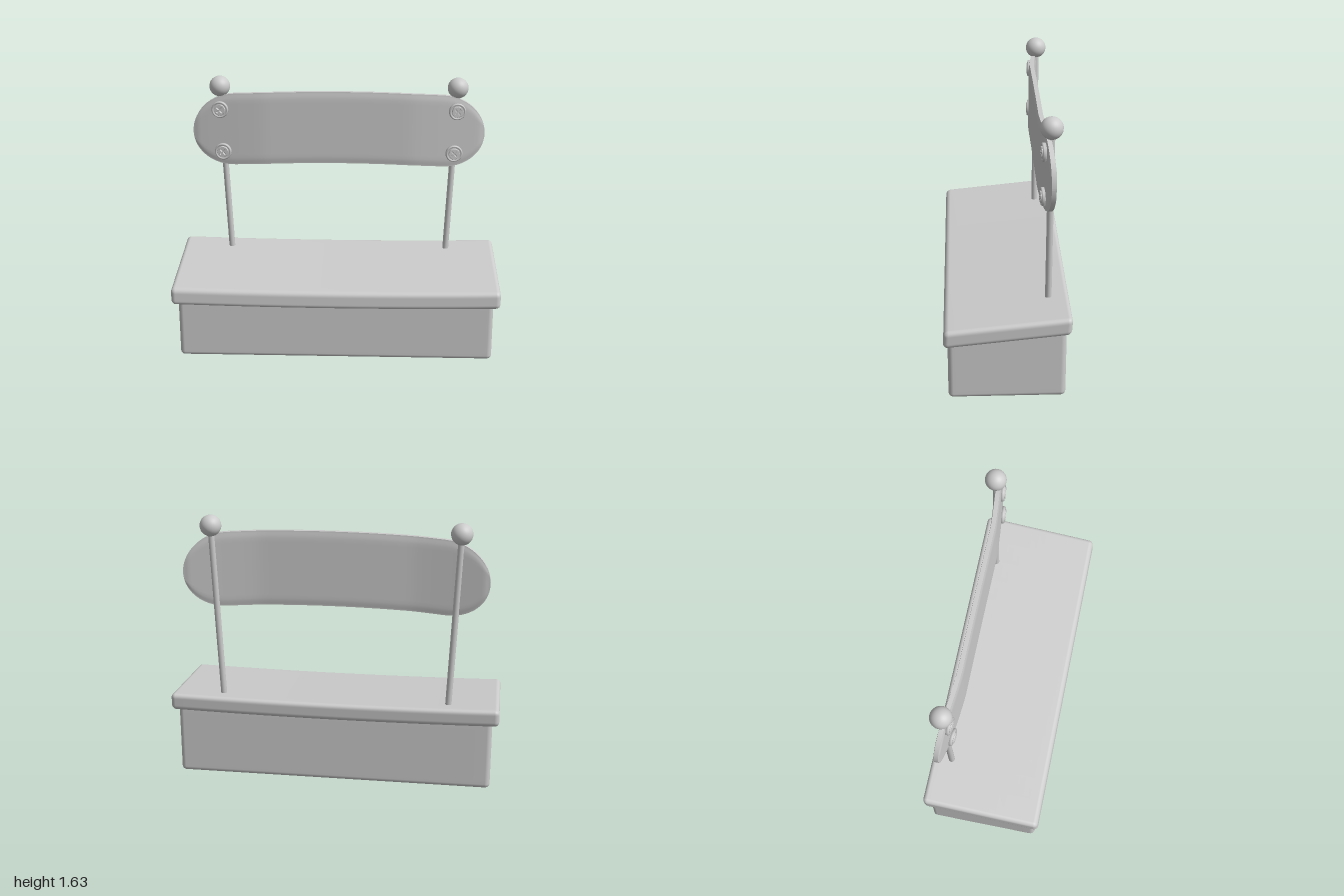
import * as THREE from 'three';
import { mergeVertices } from 'three/addons/utils/BufferGeometryUtils.js';

const SLOPE = -0.104; // lid drops towards the front
const grey = new THREE.MeshStandardMaterial({ color: 0xcccccc });
const greyThin = new THREE.MeshStandardMaterial({ color: 0xcccccc, side: THREE.DoubleSide });

function addMesh(parent, name, geometry, material = grey) {
  const mesh = new THREE.Mesh(geometry, material);
  mesh.name = name;
  parent.add(mesh);
  return mesh;
}

// Moves every vertex by a rule, then rebuilds smooth normals
function deform(geometry, rule) {
  const p = geometry.attributes.position;
  const v = new THREE.Vector3();
  for (let i = 0; i < p.count; i++) {
    rule(v.fromBufferAttribute(p, i));
    p.setXYZ(i, v.x, v.y, v.z);
  }
  geometry.computeVertexNormals();
  return geometry;
}

// Box with rounded edges and enough divisions to be bent; open = no top or bottom
function roundedBox(w, h, d, r, open = false) {
  const n = 22, edge = 4, inner = n / 2 - edge;
  let g = new THREE.BoxGeometry(1, 1, 1, n, n, n);
  if (open) {
    const index = Array.from(g.index.array);
    g.setIndex(g.groups.filter((_, i) => i !== 2 && i !== 3)
      .flatMap((s) => index.slice(s.start, s.start + s.count)));
  }
  g.deleteAttribute('uv');
  g.deleteAttribute('normal');
  g.clearGroups();
  g = mergeVertices(g);
  const spread = (t, size) => {
    const a = Math.abs(t * n), flat = size / 2 - r;
    const out = a <= inner ? (a / inner) * flat
      : flat + r * Math.tan(((a - inner) / edge) * Math.PI / 4);
    return Math.sign(t) * out;
  };
  const half = new THREE.Vector3(w / 2 - r, h / 2 - r, d / 2 - r);
  const low = half.clone().negate(), core = new THREE.Vector3();
  return deform(g, (v) => {
    v.set(spread(v.x, w), spread(v.y, h), spread(v.z, d));
    core.copy(v).clamp(low, half);
    v.sub(core).setLength(r).add(core);
  });
}

// Centre plane of the backrest: flat in the middle, swept back at the ends
const panelZ = (x) => -0.203 - 0.047 * Math.pow(Math.max(0, (Math.abs(x) - 0.45) / 0.46), 1.2);

function backrestGeometry() {
  const END = 0.912;
  let g = new THREE.BoxGeometry(2, 2, 2, 56, 20, 1);
  g.deleteAttribute('uv'); // normals stay, so the rim keeps a sharp edge
  g = mergeVertices(g);
  return deform(g, (v) => {
    const x = END * Math.sin(v.x * Math.PI / 2);
    const t = Math.sin(v.y * Math.PI / 2);
    const k = Math.max(0, (Math.abs(x) - 0.65) / (END - 0.65));
    const half = 0.229 * Math.sqrt(Math.max(0.0004, 1 - k * k));
    const toEdge = Math.min((1 - Math.abs(t)) * half, END - Math.abs(x));
    const thick = 0.013 + 0.006 * THREE.MathUtils.smoothstep(toEdge, 0, 0.04);
    v.set(x, 1.322 - 0.04 * (x / END) ** 2 + half * t, panelZ(x) + v.z * thick);
  });
}

// Round screw with a raised rim and a recessed cross
function makeScrew() {
  const screw = new THREE.Group();
  const rim = [[0, 0], [0.053, 0], [0.053, 0.018], [0.049, 0.025], [0.043, 0.025],
    [0.04, 0.018], [0, 0.018]].map(([x, y]) => new THREE.Vector2(x, y));
  addMesh(screw, 'screwWasher', new THREE.LatheGeometry(rim, 24)).rotation.x = Math.PI / 2;

  const head = new THREE.Shape().absarc(0, 0, 0.033, 0, Math.PI * 2);
  const a = 0.0055, b = 0.024;
  const cross = [[a, a], [a, b], [-a, b], [-a, a], [-b, a], [-b, -a],
    [-a, -a], [-a, -b], [a, -b], [a, -a], [b, -a], [b, a]];
  head.holes.push(new THREE.Path(cross.map(([x, y]) => new THREE.Vector2(x, y))));
  const headMesh = addMesh(screw, 'screwHead', new THREE.ExtrudeGeometry(head, {
    depth: 0.009, curveSegments: 12, bevelThickness: 0.003, bevelSize: 0.002, bevelSegments: 1,
  }));
  headMesh.position.z = 0.018;
  headMesh.rotation.z = Math.PI / 4;
  return screw;
}

export function createModel() {
  const model = new THREE.Group();
  model.name = 'bench';

  // Hollow base, open underneath, its top following the lid's slope
  const baseHeight = 0.42;
  addMesh(model, 'base', deform(roundedBox(1.92, baseHeight, 0.675, 0.03, true), (v) => {
    const up = v.y / baseHeight + 0.5;
    v.y += baseHeight / 2 + up * SLOPE * v.z;
    v.z += 0.0025;
  }), greyThin);

  // Overhanging seat lid, tilted forward and sagging a little in the middle
  addMesh(model, 'seatLid', deform(roundedBox(2, 0.106, 0.725, 0.028), (v) => {
    v.z -= 0.06 * v.y;
    v.y += 0.44 + SLOPE * v.z - 0.013 * (1 - v.x * v.x);
  }));

  addMesh(model, 'backrest', backrestGeometry());

  for (const side of [1, -1]) {
    const name = side > 0 ? 'left' : 'right';

    // Post leaning outwards, with a ball on top
    const foot = new THREE.Vector3(side * 0.688, 0.44, -0.245);
    const top = new THREE.Vector3(side * 0.738, 1.57, -0.245);
    addMesh(model, name + 'Post', new THREE.TubeGeometry(new THREE.LineCurve3(foot, top), 1, 0.019, 12));
    addMesh(model, name + 'Ball', new THREE.SphereGeometry(0.064, 28, 20)).position.copy(top);

    // Two screws fixing the backrest to the post
    [[0.735, 1.43], [0.722, 1.16]].forEach(([x, y], i) => {
      const screw = makeScrew();
      screw.name = name + (i ? 'LowerScrew' : 'UpperScrew');
      screw.position.set(side * x, y, panelZ(x) + 0.013);
      screw.rotation.y = side * 0.1;
      model.add(screw);
    });
  }
  return model;
}
